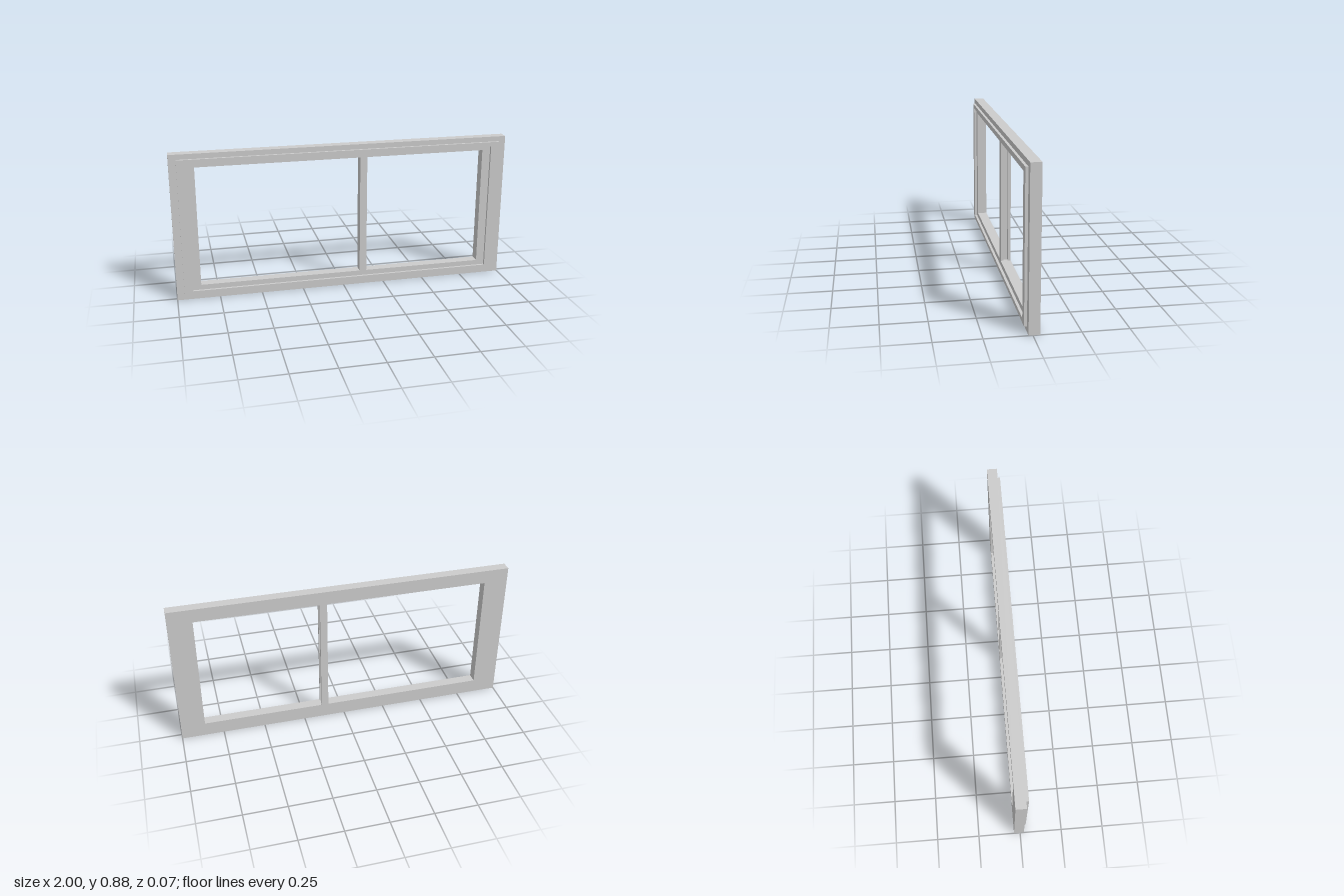
import * as THREE from 'three';

const material = new THREE.MeshStandardMaterial({ color: 0xcccccc });

function rect(Type, x0, y0, x1, y1) {
  const p = new Type();
  p.moveTo(x0, y0);
  p.lineTo(x1, y0);
  p.lineTo(x1, y1);
  p.lineTo(x0, y1);
  p.closePath();
  return p;
}

// Rectangular ring extruded from z0 to z1; outer and inner are [halfWidth, bottom, top]
function ring(name, outer, inner, z0, z1) {
  const shape = rect(THREE.Shape, -outer[0], outer[1], outer[0], outer[2]);
  shape.holes.push(rect(THREE.Path, -inner[0], inner[1], inner[0], inner[2]));
  const geometry = new THREE.ExtrudeGeometry(shape, { depth: z1 - z0, bevelEnabled: false });
  geometry.translate(0, 0, z0);
  const mesh = new THREE.Mesh(geometry, material);
  mesh.name = name;
  return mesh;
}

export function createModel() {
  const group = new THREE.Group();
  group.name = 'windowFrame';
  const back = -0.037, face = 0.022, front = 0.037;
  const bottom = 0.085, top = 0.8;

  // Main frame and the raised moulding on its front
  group.add(ring('outerFrame', [1, 0, 0.88], [0.858, bottom, top], back, face));
  group.add(ring('frontMoulding', [0.957, 0.03, 0.85], [0.907, 0.055, 0.825], face, front));

  // Mullion: upright bar with a channel along its +x side, section drawn in x and z
  const x0 = 0.1, x1 = 0.142, floor = 0.122, g0 = -0.02, g1 = 0.005;
  const section = new THREE.Shape([
    [x0, back], [x1, back], [x1, g0], [floor, g0],
    [floor, g1], [x1, g1], [x1, face], [x0, face],
  ].map(([x, z]) => new THREE.Vector2(x, -z)));
  const geometry = new THREE.ExtrudeGeometry(section, { depth: top - bottom, bevelEnabled: false });
  geometry.rotateX(-Math.PI / 2);
  geometry.translate(0, bottom, 0);
  const mullion = new THREE.Mesh(geometry, material);
  mullion.name = 'mullion';
  group.add(mullion);

  return group;
}
